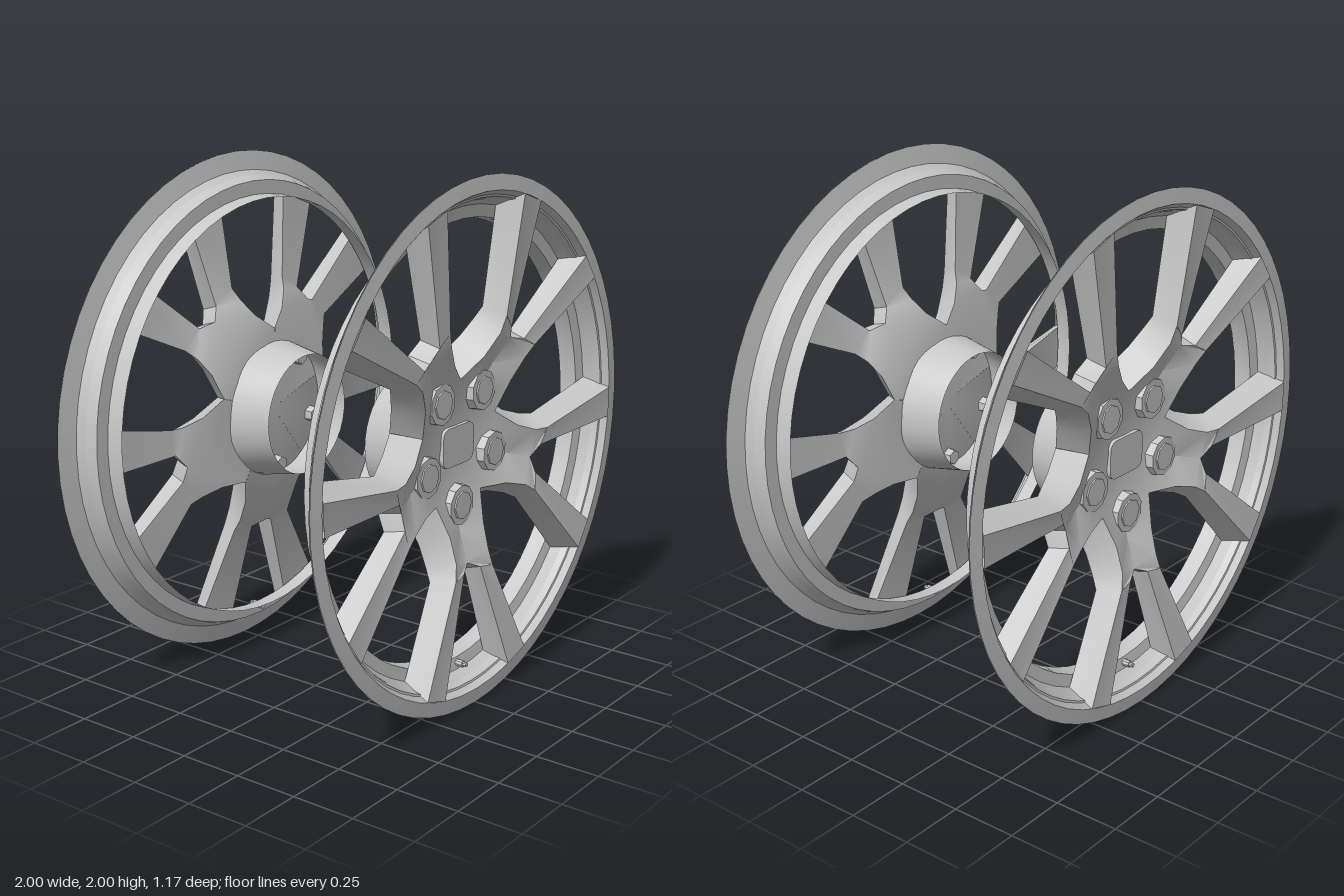
import * as THREE from 'three';
import { mergeGeometries, toCreasedNormals } from 'three/addons/utils/BufferGeometryUtils.js';

const alloy = new THREE.MeshStandardMaterial({ color: 0xc8c8c8, side: THREE.DoubleSide });
alloy.name = 'alloy grey';

// Half of one Y spoke, arm along +y. Each section: inner face, outer face, outer back, inner back.
const SECTIONS = [
  [[0, 0, 0.462], [0, 0, 0.462], [0, 0, 0.4], [0, 0, 0.4]],
  [[0, 0.2, 0.468], [0.147, 0.202, 0.485], [0.19, 0.262, 0.39], [0, 0.24, 0.39]],
  [[0, 0.34, 0.495], [0.112, 0.32, 0.525], [0.16, 0.36, 0.42], [0, 0.36, 0.42]],
  [[0, 0.45, 0.53], [0.108, 0.42, 0.552], [0.158, 0.44, 0.45], [0, 0.48, 0.45]],
  [[0.055, 0.475, 0.552], [0.125, 0.485, 0.562], [0.168, 0.49, 0.475], [0.06, 0.5, 0.475]],
  [[0.216, 0.915, 0.586], [0.331, 0.88, 0.586], [0.352, 0.811, 0.497], [0.172, 0.867, 0.497]],
];

function halfSpoke(side) {
  const pos = [];
  const idx = [];
  SECTIONS.forEach((ring) => ring.forEach(([x, y, z]) => pos.push(x * side, y, z)));
  for (let i = 0; i < SECTIONS.length - 1; i++) {
    for (let j = 0; j < 4; j++) {
      // leave out walls lying inside the solid hub
      if ((j === 3 && i < 3) || (j === 1 && i === 0)) continue;
      const a = i * 4 + j, b = i * 4 + (j + 1) % 4, c = b + 4, d = a + 4;
      if (side > 0) idx.push(a, b, c, a, c, d);
      else idx.push(a, c, b, a, d, c);
    }
  }
  const g = new THREE.BufferGeometry();
  g.setAttribute('position', new THREE.Float32BufferAttribute(pos, 3));
  g.setIndex(idx);
  return g;
}

function add(parent, geometry, name, x = 0, y = 0, z = 0) {
  const m = new THREE.Mesh(geometry, alloy);
  m.name = name;
  m.position.set(x, y, z);
  parent.add(m);
}

// Lathe about z from [radius, z] pairs, listed so that the faces point outward
function turned(points, segments) {
  const g = new THREE.LatheGeometry(points.map(([r, z]) => new THREE.Vector2(r, z)), segments);
  g.rotateX(Math.PI / 2);
  g.deleteAttribute('normal');
  return toCreasedNormals(g, 0.4);
}

// Cylinder along z between two depths
function stud(rFront, rBack, zBack, zFront, sides) {
  const g = new THREE.CylinderGeometry(rFront, rBack, zFront - zBack, sides);
  g.rotateX(Math.PI / 2);
  g.translate(0, 0, (zFront + zBack) / 2);
  return toCreasedNormals(g, 0.3);
}

function roundedPlate(w, h, r, depth) {
  const s = new THREE.Shape();
  const x = w / 2, y = h / 2;
  s.moveTo(-x + r, -y);
  s.lineTo(x - r, -y);
  s.quadraticCurveTo(x, -y, x, -y + r);
  s.lineTo(x, y - r);
  s.quadraticCurveTo(x, y, x - r, y);
  s.lineTo(-x + r, y);
  s.quadraticCurveTo(-x, y, -x, y - r);
  s.lineTo(-x, -y + r);
  s.quadraticCurveTo(-x, -y, -x + r, -y);
  return new THREE.ExtrudeGeometry(s, { depth, bevelEnabled: false });
}

function createWheel(name) {
  const wheel = new THREE.Group();
  wheel.name = name;

  // Five forked spokes joined at the dished hub
  const halves = [];
  for (let k = 0; k < 5; k++) {
    for (const side of [1, -1]) {
      halves.push(halfSpoke(side).rotateZ(Math.PI + (k * Math.PI * 2) / 5));
    }
  }
  add(wheel, toCreasedNormals(mergeGeometries(halves), 0.55), 'spokes');

  // Rim: flat lip, sloping inner wall, shelf and short barrel
  add(wheel, turned([
    [0.832, 0.42], [0.838, 0.488], [0.885, 0.495], [0.93, 0.565], [0.942, 0.583], [1, 0.577],
  ], 60), 'rim');
  add(wheel, turned([[1, 0.573], [0.917, 0.556], [0.892, 0.488], [0.838, 0.486]], 60), 'rimBack');

  // Open mounting sleeve behind the hub
  add(wheel, turned([[0.238, 0.228], [0.272, 0.4]], 40), 'mountSleeve');

  // Centre cap
  add(wheel, roundedPlate(0.2, 0.15, 0.04, 0.02), 'centreCap', 0, 0, 0.462);

  // Wheel bolts with collars
  for (let k = 0; k < 5; k++) {
    const a = -Math.PI / 2 + (k * Math.PI * 2) / 5;
    const bolt = new THREE.Group();
    bolt.name = 'bolt';
    bolt.position.set(Math.cos(a) * 0.228, Math.sin(a) * 0.228, 0);
    add(bolt, stud(0.077, 0.082, 0.45, 0.502, 10), 'boltCollar');
    add(bolt, stud(0.054, 0.056, 0.45, 0.508, 8), 'boltHead');
    add(bolt, stud(0.04, 0.03, 0.36, 0.45, 6), 'boltShank');
    wheel.add(bolt);
  }

  // Tyre valve
  add(wheel, stud(0.014, 0.014, 0.47, 0.52, 8), 'valve', 0, -0.86, 0);
  add(wheel, stud(0.009, 0.009, 0.52, 0.535, 8), 'valveTip', 0, -0.86, 0);

  wheel.position.y = 1;
  return wheel;
}

export function createModel() {
  const model = new THREE.Group();
  model.name = 'wheelPair';
  const front = createWheel('frontWheel');
  const back = createWheel('backWheel');
  back.rotation.y = Math.PI;
  model.add(front, back);
  return model;
}
